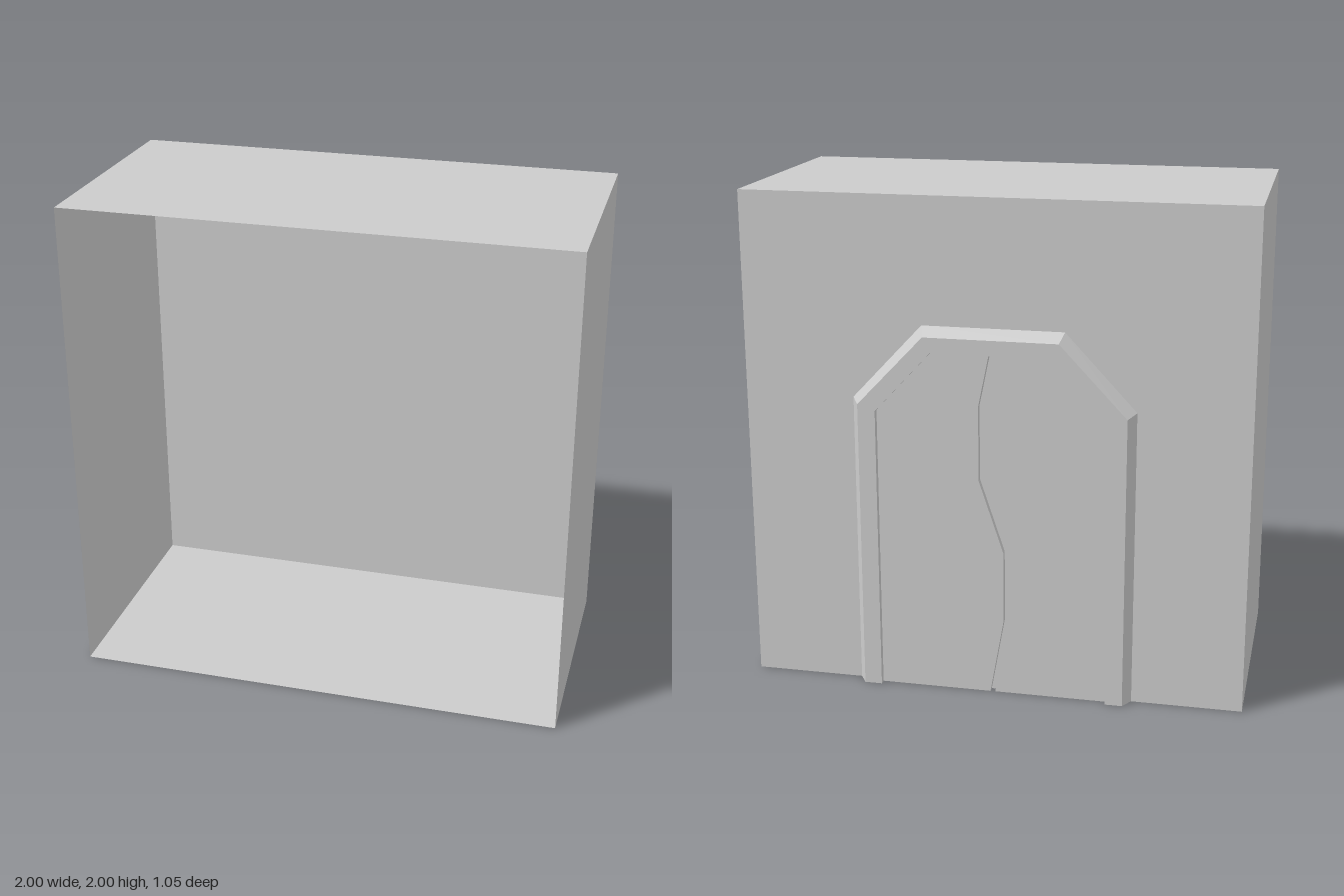
import * as THREE from 'three';

const WALL_Z = -0.475, FRONT_Z = 0.525, FRAME_Z = -0.525, PANEL_Z = -0.5;
const grey = (side = THREE.FrontSide) =>
  new THREE.MeshStandardMaterial({ color: 0xcccccc, flatShading: true, side });

function part(name, geometry, side) {
  const mesh = new THREE.Mesh(geometry, grey(side));
  mesh.name = name;
  return mesh;
}

// Thin-walled room: a box without its front face
function roomGeometry() {
  const box = new THREE.BoxGeometry(2, 2, FRONT_Z - WALL_Z);
  box.translate(0, 1, (FRONT_Z + WALL_Z) / 2);
  const index = Array.from(box.index.array);
  index.splice(24, 6);
  box.setIndex(index);
  box.clearGroups();
  return box;
}

// Door surround: a bevelled cross-section carried along an angular arch
function frameGeometry() {
  // half width, shoulder height, top half width, top height, z
  const section = [
    [0.56, 1.2, 0.28, 1.5, WALL_Z],
    [0.53, 1.185, 0.265, 1.465, FRAME_Z],
    [0.46, 1.16, 0.235, 1.405, FRAME_Z],
    [0.46, 1.16, 0.235, 1.405, WALL_Z],
  ];
  const rails = section.map(([w, sh, tw, th, z]) =>
    [[w, 0], [w, sh], [tw, th], [-tw, th], [-w, sh], [-w, 0]].map(([x, y]) => [x, y, z]));
  const pos = [];
  const quad = (a, b, c, d) => pos.push(...a, ...b, ...c, ...a, ...c, ...d);
  for (let j = 0; j < 3; j++) {
    for (let i = 0; i < 5; i++) {
      quad(rails[j][i], rails[j + 1][i], rails[j + 1][i + 1], rails[j][i + 1]);
    }
  }
  // Feet of the two jambs
  quad(rails[0][0], rails[3][0], rails[2][0], rails[1][0]);
  quad(rails[0][5], rails[1][5], rails[2][5], rails[3][5]);
  const geometry = new THREE.BufferGeometry();
  geometry.setAttribute('position', new THREE.Float32BufferAttribute(pos, 3));
  geometry.computeVertexNormals();
  return geometry;
}

// One door leaf, cut along the winding seam in the middle
function leafGeometry(side) {
  const seam = [[0, 0], [-0.055, 0.31], [-0.055, 0.6], [0.043, 0.895], [0.043, 1.195], [0, 1.405]];
  const outline = [
    ...seam.map(([x, y]) => [x + side * 0.01, y]),
    [side * 0.235, 1.405], [side * 0.46, 1.16], [side * 0.46, 0],
  ];
  const shape = new THREE.Shape(outline.map(([x, y]) => new THREE.Vector2(x, y)));
  const geometry = new THREE.ExtrudeGeometry(shape, { depth: WALL_Z - PANEL_Z, bevelEnabled: false });
  return geometry.translate(0, 0, PANEL_Z);
}

export function createModel() {
  const model = new THREE.Group();
  model.name = 'roomWithDoor';
  model.add(part('walls', roomGeometry(), THREE.DoubleSide));

  const door = new THREE.Group();
  door.name = 'door';
  door.add(part('doorFrame', frameGeometry()));
  door.add(part('leftDoorLeaf', leafGeometry(1)));
  door.add(part('rightDoorLeaf', leafGeometry(-1)));
  model.add(door);
  return model;
}
